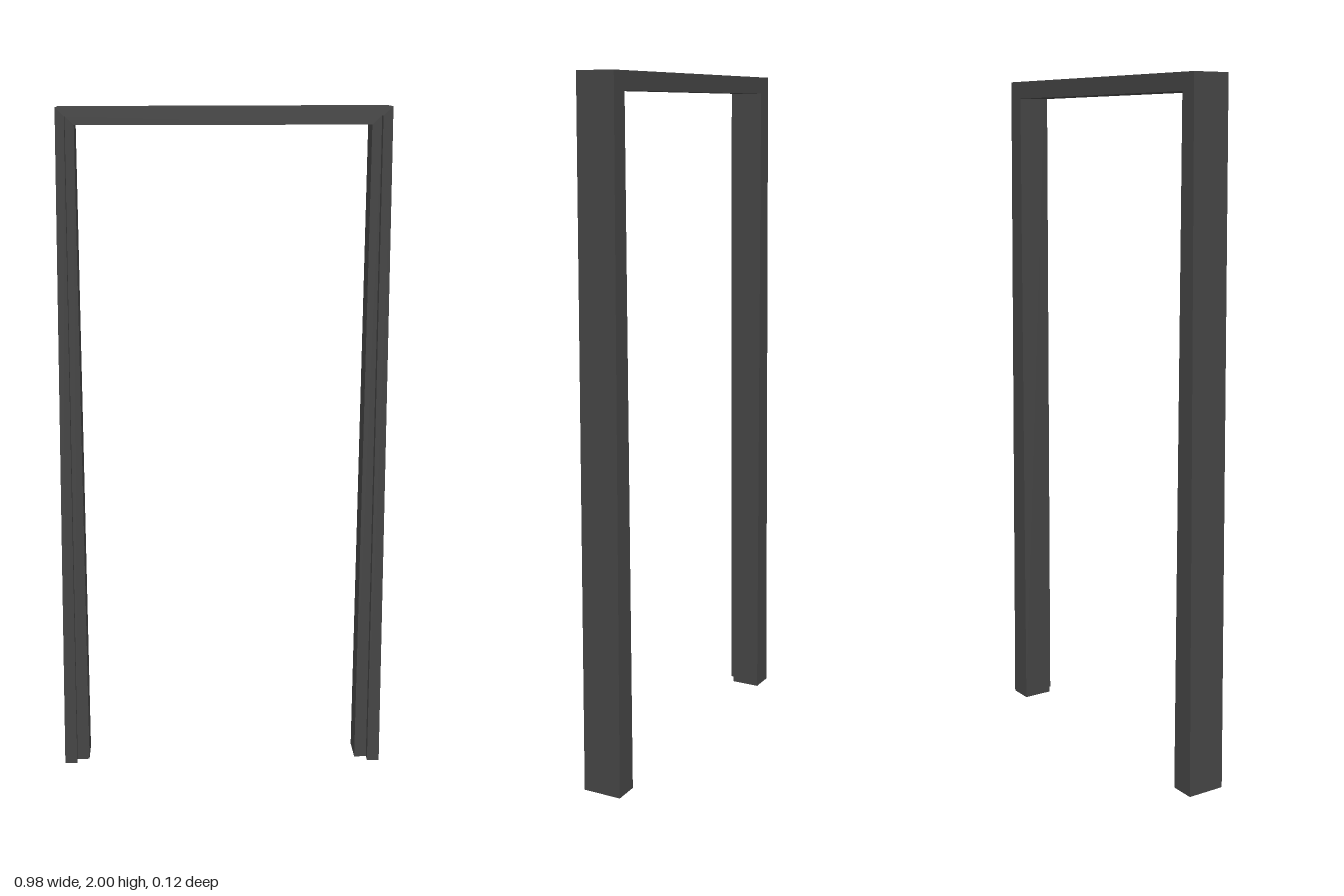
import * as THREE from 'three';

// Corner stations around the opening: outer and inner edge [x, y], plus back and front z
const STATIONS = [
  { outer: [-0.492, 0.005], inner: [-0.418, 0.005], back: -0.063, front: 0.051 },
  { outer: [-0.465, 1.998], inner: [-0.415, 1.949], back: -0.055, front: 0.058 },
  { outer: [0.474, 2.0], inner: [0.42, 1.949], back: -0.054, front: 0.059 },
  { outer: [0.49, 0], inner: [0.416, 0], back: -0.06, front: 0.056 },
];
const REBATE = 0.026; // depth of the door stop step

// Six-sided rebated profile at one station
function profile({ outer, inner, back, front }) {
  const at = (t, z) => [
    THREE.MathUtils.lerp(outer[0], inner[0], t),
    THREE.MathUtils.lerp(outer[1], inner[1], t),
    z,
  ];
  return [
    at(0, back), at(0, front), at(0.5, front),
    at(0.5, front - REBATE), at(1, front - REBATE), at(1, back),
  ];
}

// Open-ended shell between two mitred profiles
function loft(a, b) {
  const positions = [];
  for (let i = 0; i < a.length; i++) {
    const j = (i + 1) % a.length;
    positions.push(...a[i], ...a[j], ...b[j], ...a[i], ...b[j], ...b[i]);
  }
  const geometry = new THREE.BufferGeometry();
  geometry.setAttribute('position', new THREE.Float32BufferAttribute(positions, 3));
  geometry.computeVertexNormals();
  return geometry;
}

export function createModel() {
  const group = new THREE.Group();
  group.name = 'doorFrame';
  const material = new THREE.MeshStandardMaterial({
    color: 0x444444, flatShading: true, side: THREE.DoubleSide,
  });
  // Right jamb, head and left jamb follow one another around the opening
  ['rightJamb', 'head', 'leftJamb'].forEach((name, i) => {
    const mesh = new THREE.Mesh(loft(profile(STATIONS[i]), profile(STATIONS[i + 1])), material);
    mesh.name = name;
    group.add(mesh);
  });
  return group;
}
